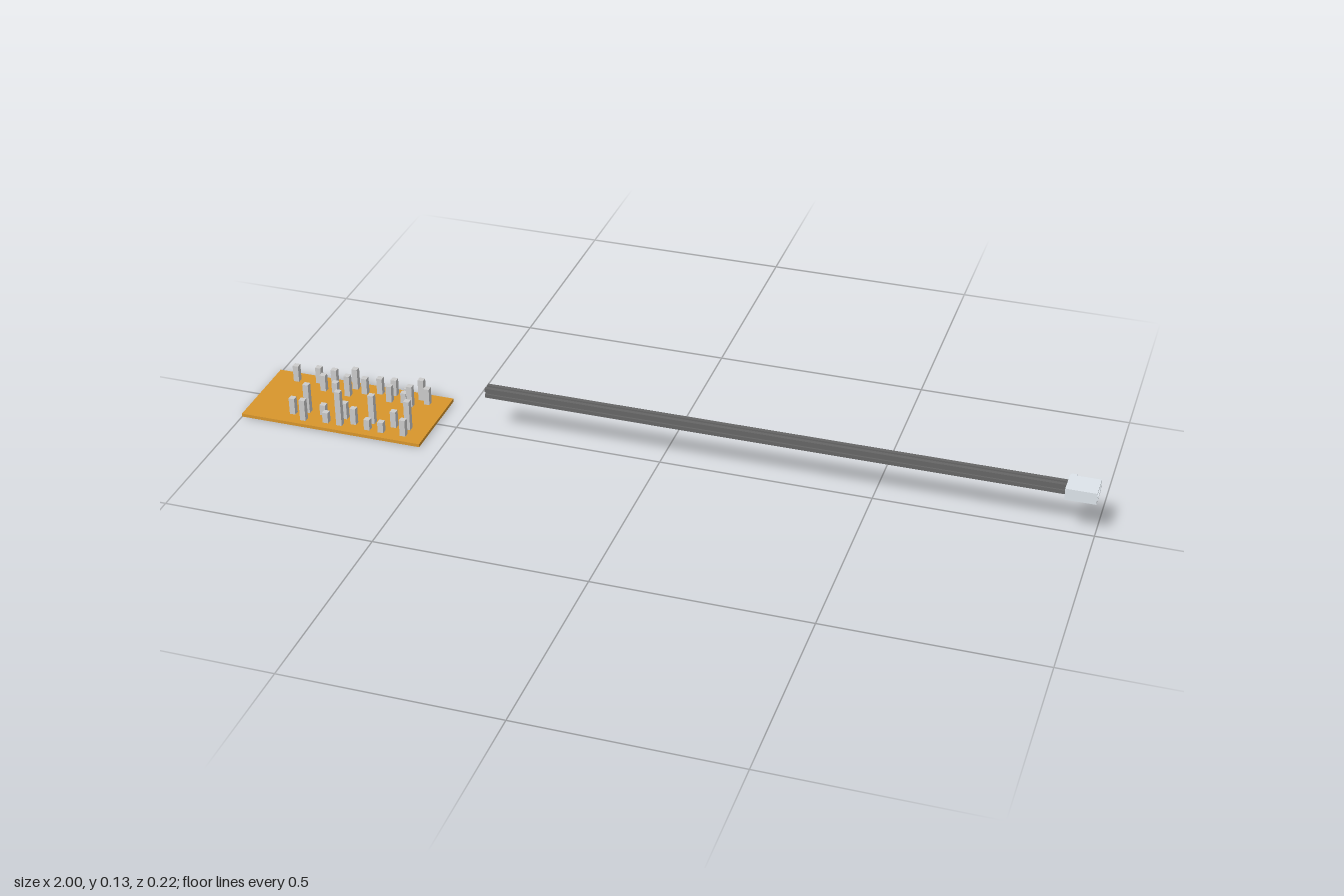
import * as THREE from 'three';

const mat = (color) => new THREE.MeshStandardMaterial({ color });

export function createModel() {
  const model = new THREE.Group();
  const orange = mat(0xd8962c), grey = mat(0xcccccc), dark = mat(0x666666), pale = mat(0xdde4ea);

  const box = (name, material, x0, x1, y0, y1, z0, z1, parent = model) => {
    const mesh = new THREE.Mesh(new THREE.BoxGeometry(x1 - x0, y1 - y0, z1 - z0), material);
    mesh.position.set((x0 + x1) / 2, (y0 + y1) / 2, (z0 + z1) / 2);
    mesh.name = name;
    parent.add(mesh);
  };

  // Base board
  box('board', orange, -1, -0.55, 0, 0.008, -0.108, 0.108);

  // Square posts in two bands: x, z, top height
  const posts = [
    [-0.94, -0.075, 0.05], [-0.885, -0.083, 0.05], [-0.845, -0.084, 0.05], [-0.79, -0.084, 0.062],
    [-0.76, -0.069, 0.05], [-0.725, -0.08, 0.05], [-0.69, -0.084, 0.05], [-0.655, -0.08, 0.035],
    [-0.62, -0.084, 0.062], [-0.6, -0.069, 0.05],
    [-0.86, -0.053, 0.05], [-0.83, -0.053, 0.035], [-0.795, -0.048, 0.062],
    [-0.69, -0.053, 0.05], [-0.655, -0.058, 0.035], [-0.635, -0.048, 0.062],
    [-0.885, 0.067, 0.05], [-0.855, 0.05, 0.083], [-0.815, 0.05, 0.035], [-0.76, 0.05, 0.05],
    [-0.73, 0.067, 0.05], [-0.69, 0.05, 0.083], [-0.635, 0.051, 0.05], [-0.6, 0.05, 0.083],
    [-0.85, 0.086, 0.062], [-0.795, 0.08, 0.035], [-0.76, 0.081, 0.098],
    [-0.69, 0.08, 0.035], [-0.655, 0.081, 0.035], [-0.6, 0.08, 0.05],
  ];
  const postGroup = new THREE.Group();
  postGroup.name = 'posts';
  model.add(postGroup);
  for (const [x, z, h] of posts) {
    box('post', grey, x - 0.007, x + 0.007, 0.006, h, z - 0.007, z + 0.007, postGroup);
  }

  // Long grooved bar: square section with a slot in each face
  const r = 0.012, g = 0.003, d = 0.008;
  const section = new THREE.Shape();
  const side = [[-r, -r], [-g, -r], [-g, -d], [g, -d], [g, -r]];
  const outline = [];
  for (let k = 0; k < 4; k++) {
    const c = Math.round(Math.cos(k * Math.PI / 2)), s = Math.round(Math.sin(k * Math.PI / 2));
    for (const [x, y] of side) outline.push(new THREE.Vector2(x * c - y * s, x * s + y * c));
  }
  section.setFromPoints(outline);
  const barGeo = new THREE.ExtrudeGeometry(section, { depth: 1.36, bevelEnabled: false });
  barGeo.rotateY(Math.PI / 2);
  const bar = new THREE.Mesh(barGeo, dark);
  bar.position.set(-0.42, 0.115, 0);
  bar.name = 'bar';
  model.add(bar);

  // Hollow end housing, open toward +x
  const head = new THREE.Group();
  head.name = 'endHousing';
  model.add(head);
  box('housingTop', pale, 0.93, 1, 0.125, 0.129, -0.03, 0.03, head);
  box('housingFloor', pale, 0.93, 1, 0.101, 0.105, -0.03, 0.03, head);
  box('housingBack', pale, 0.93, 0.936, 0.105, 0.125, -0.03, 0.03, head);
  for (const s of [-1, 1]) {
    const z = s * 0.028;
    box('housingSide', pale, 0.93, 1, 0.105, 0.125, z - 0.002, z + 0.002, head);
    // Screw bosses inside the housing
    const boss = new THREE.Mesh(new THREE.CylinderGeometry(0.006, 0.006, 0.02, 12), pale);
    boss.position.set(0.95, 0.115, s * 0.02);
    boss.name = 'screwBoss';
    head.add(boss);
  }
  // Small tab on the rear side
  box('tab', pale, 0.932, 0.946, 0.102, 0.128, -0.037, -0.03, head);

  return model;
}
